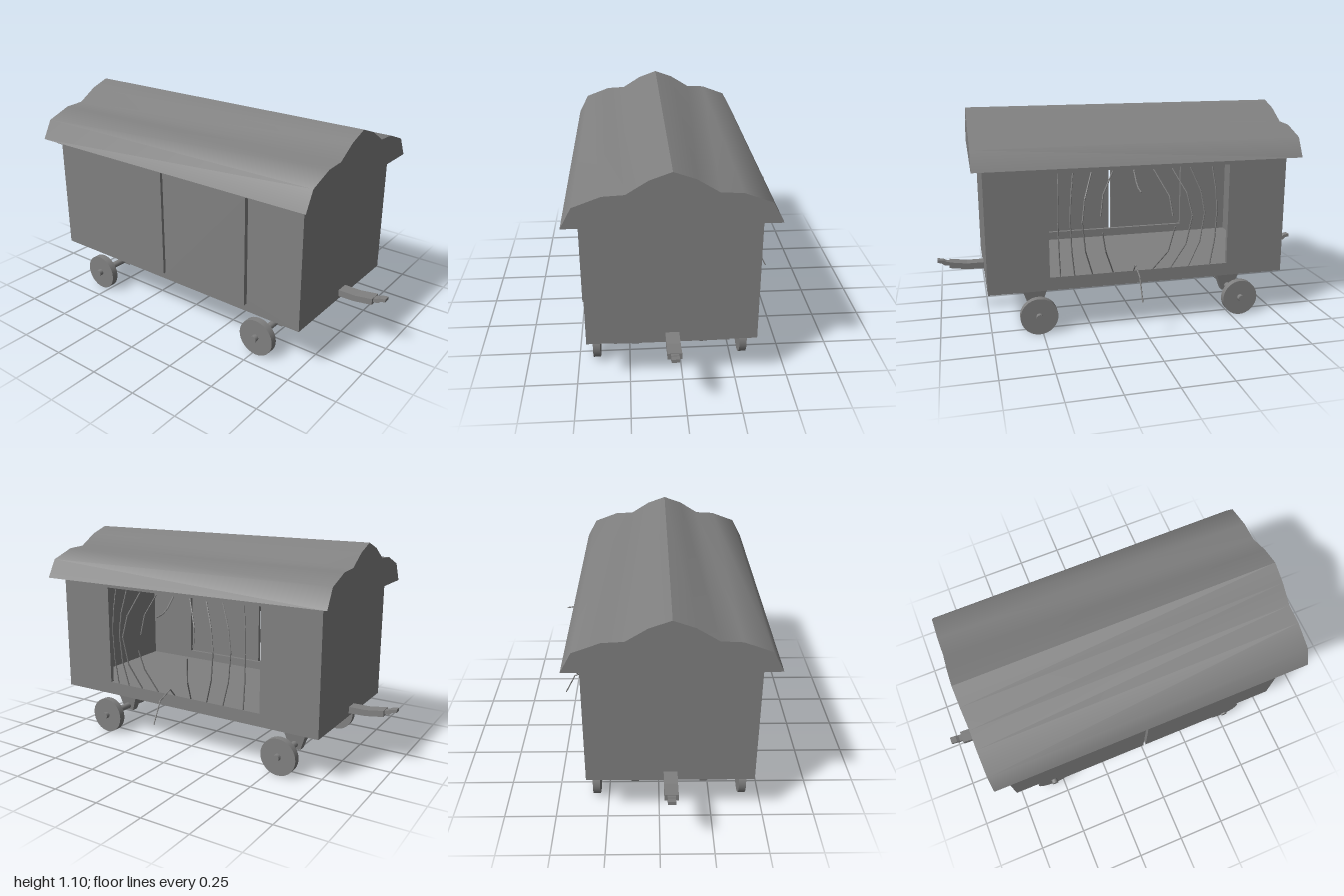
import * as THREE from 'three';

const CX = -0.0515; // centre line of the wagon
const GREY = 0x808080;
const mat = new THREE.MeshStandardMaterial({ color: GREY, flatShading: true });
const smooth = new THREE.MeshStandardMaterial({ color: GREY });
const thin = new THREE.MeshStandardMaterial({ color: GREY, side: THREE.DoubleSide });

function add(parent, name, geo, x = 0, y = 0, z = 0, m = mat) {
  const mesh = new THREE.Mesh(geo, m);
  mesh.name = name;
  mesh.position.set(x, y, z);
  parent.add(mesh);
  return mesh;
}

const shapeOf = pts => new THREE.Shape(pts.map(p => new THREE.Vector2(...p)));
const rect = (x0, y0, x1, y1) => [[x0, y0], [x1, y0], [x1, y1], [x0, y1]];

// Extrudes a (z, y) outline along x, centred on x = 0
function sideExtrude(shape, width) {
  return new THREE.ExtrudeGeometry(shape, { depth: width, bevelEnabled: false })
    .translate(0, 0, -width / 2).rotateY(-Math.PI / 2);
}

// Stack of rectangles [y, halfX, halfZ], listed from bottom to top, closed at both ends
function loft(rings) {
  const pos = [], idx = [];
  for (const [y, hx, hz] of rings) pos.push(-hx, y, hz, hx, y, hz, hx, y, -hz, -hx, y, -hz);
  for (let r = 0; r < rings.length - 1; r++) {
    for (let i = 0; i < 4; i++) {
      const a = r * 4 + i, b = r * 4 + (i + 1) % 4;
      idx.push(a, b, b + 4, a, b + 4, a + 4);
    }
  }
  const t = (rings.length - 1) * 4;
  idx.push(0, 2, 1, 0, 3, 2, t, t + 1, t + 2, t, t + 2, t + 3);
  const g = new THREE.BufferGeometry();
  g.setAttribute('position', new THREE.Float32BufferAttribute(pos, 3));
  g.setIndex(idx);
  const flat = g.toNonIndexed();
  flat.computeVertexNormals();
  return flat;
}

// Hollow body, its walls rising into the roof, with a wide opening in each long side
function buildBody(root) {
  const body = new THREE.Group();
  body.name = 'body';
  root.add(body);
  const hx = 0.395, y0 = 0.236, y1 = 0.93, hz = 0.764, t = 0.02;
  for (const s of [-1, 1]) {
    const wall = shapeOf(rect(-hz, y0, hz, y1));
    wall.holes.push(shapeOf(rect(-0.457, 0.302, 0.462, 0.823)));
    add(body, s > 0 ? 'leftWall' : 'rightWall', sideExtrude(wall, t), CX + s * (hx - t / 2));
    add(body, s > 0 ? 'frontWall' : 'backWall',
      new THREE.BoxGeometry(2 * (hx - t), y1 - y0, t), CX, (y0 + y1) / 2, s * (hz - t / 2));
  }
  add(body, 'floor', new THREE.BoxGeometry(2 * (hx - t), t, 2 * (hz - t)), CX, y0 + t / 2, 0);
}

// Open-bottomed roof shell with a sharp ridge, gables and a narrow rim
function buildRoof(root) {
  const roof = new THREE.Group();
  roof.name = 'roof';
  root.add(roof);
  const half = [[0, 1.098], [0.098, 1.063], [0.196, 1.002], [0.293, 0.997], [0.419, 0.95], [0.47, 0.855]];
  const hz = 0.814, rim = 0.018;
  for (const s of [-1, 1]) {
    const pos = [], idx = [];
    half.forEach(([x, y], i) => {
      pos.push(s * x, y, hz, s * x, y, -hz);
      if (i) {
        const a = i * 2 - 2;
        if (s > 0) idx.push(a, a + 2, a + 3, a, a + 3, a + 1);
        else idx.push(a, a + 3, a + 2, a, a + 1, a + 3);
      }
    });
    const g = new THREE.BufferGeometry();
    g.setAttribute('position', new THREE.Float32BufferAttribute(pos, 3));
    g.setIndex(idx);
    g.computeVertexNormals();
    add(roof, 'roofSlope', g, CX, 0, 0, thin);

    const outline = [...half.slice(1).reverse().map(([x, y]) => [-x, y]), ...half];
    const gable = new THREE.ShapeGeometry(shapeOf(outline));
    if (s < 0) gable.rotateY(Math.PI);
    add(roof, 'gable', gable, CX, 0, s * hz, thin);
  }
  const ring = shapeOf(rect(-0.47, -hz, 0.47, hz));
  ring.holes.push(shapeOf(rect(rim - 0.47, rim - hz, 0.47 - rim, hz - rim)));
  add(roof, 'eaveRim', new THREE.ShapeGeometry(ring).rotateX(Math.PI / 2), CX, 0.855, 0, thin);
}

// Pair of sliding doors hanging from a rail
function buildDoors(root) {
  for (const [z0, z1] of [[-0.505, -0.023], [-0.009, 0.48]])
    add(root, 'slidingDoor', new THREE.BoxGeometry(0.022, 0.546, z1 - z0), -0.465, 0.556, (z0 + z1) / 2);
  add(root, 'doorRail', new THREE.BoxGeometry(0.038, 0.022, 1.52), -0.466, 0.845, 0);
}

// Bars of the broken cage, bent outwards
function buildBars(root) {
  const bars = new THREE.Group();
  bars.name = 'bentBars';
  root.add(bars);
  const up = new THREE.Vector3(0, 1, 0);
  const bar = pts => {
    const v = pts.map(p => new THREE.Vector3(...p));
    for (let i = 1; i < v.length; i++) {
      const d = v[i].clone().sub(v[i - 1]);
      const m = add(bars, 'bar', new THREE.CylinderGeometry(0.0035, 0.0035, d.length() + 0.003, 6));
      m.position.copy(v[i]).add(v[i - 1]).multiplyScalar(0.5);
      m.quaternion.setFromUnitVectors(up, d.normalize());
    }
  };
  const X = 0.34, T = 0.816, B = 0.302;
  // Whole bars: end z, middle z, middle x
  for (const [z, zm, xm] of [[0.41, 0.42, 0.363], [0.34, 0.363, 0.378], [0.25, 0.311, 0.414],
    [-0.155, -0.24, 0.414], [-0.25, -0.317, 0.378], [-0.365, -0.388, 0.363]]) {
    const at = (k, y) => [X + (xm - X) * k, y, z + (zm - z) * k];
    bar([at(0, T), at(0.72, 0.7), at(1, 0.59), at(0.72, 0.44), at(0, B)]);
  }
  // Snapped bars
  bar([[X, T, 0.145], [0.37, 0.71, 0.2], [0.385, 0.61, 0.215]]);
  bar([[X, B, 0.145], [0.39, 0.43, 0.193], [0.41, 0.53, 0.212]]);
  bar([[X, T, -0.06], [0.4, 0.69, -0.125], [0.424, 0.6, -0.135]]);
  bar([[X, B, -0.06], [0.44, 0.425, -0.11], [0.473, 0.555, -0.132]]);
  bar([[X, T, 0.04], [0.39, 0.766, 0.04], [0.43, 0.745, 0.04], [0.478, 0.737, 0.04]]);
  bar([[X, B, 0.04], [0.378, 0.345, 0.04], [0.465, 0.31, 0.04], [0.52, 0.203, 0.04]]);
}

// Chassis, axle brackets, axles and wheels
function buildUndercarriage(root) {
  add(root, 'chassis', loft([[0.18, 0.205, 0.575], [0.195, 0.268, 0.61], [0.22, 0.268, 0.747], [0.238, 0.268, 0.747]]), CX);
  const bracket = loft([[0.07, 0.018, 0.03], [0.185, 0.032, 0.07]]);
  const axle = new THREE.CylinderGeometry(0.017, 0.017, 0.8, 16).rotateZ(Math.PI / 2);
  const wheel = new THREE.CylinderGeometry(0.094, 0.094, 0.035, 32).rotateZ(Math.PI / 2);
  for (const z of [0.517, -0.55]) {
    add(root, 'axle', axle, CX, 0.096, z, smooth);
    for (const s of [-1, 1]) {
      add(root, 'axleBracket', bracket, CX + s * 0.17, 0, z);
      add(root, 'wheel', wheel, CX + s * 0.36, 0.094, z, smooth);
    }
  }
}

// Upturned drawbar with a narrow hook at each end
function buildCouplers(root) {
  const arm = shapeOf([[0.75, 0.251], [0.85, 0.254], [0.94, 0.267], [0.94, 0.298], [0.85, 0.285], [0.75, 0.285]]);
  const hook = shapeOf([[0.93, 0.274], [0.965, 0.279], [0.98, 0.292], [1, 0.295], [1, 0.311], [0.97, 0.306], [0.955, 0.298], [0.93, 0.294]]);
  for (const s of [1, -1]) {
    const coupler = new THREE.Group();
    coupler.name = s > 0 ? 'frontCoupler' : 'backCoupler';
    coupler.position.x = CX;
    if (s < 0) coupler.rotation.y = Math.PI;
    add(coupler, 'drawbar', sideExtrude(arm, 0.064));
    add(coupler, 'hook', sideExtrude(hook, 0.036));
    root.add(coupler);
  }
}

export function createModel() {
  const root = new THREE.Group();
  root.name = 'cageWagon';
  buildBody(root);
  buildRoof(root);
  buildDoors(root);
  buildBars(root);
  buildUndercarriage(root);
  buildCouplers(root);
  return root;
}
